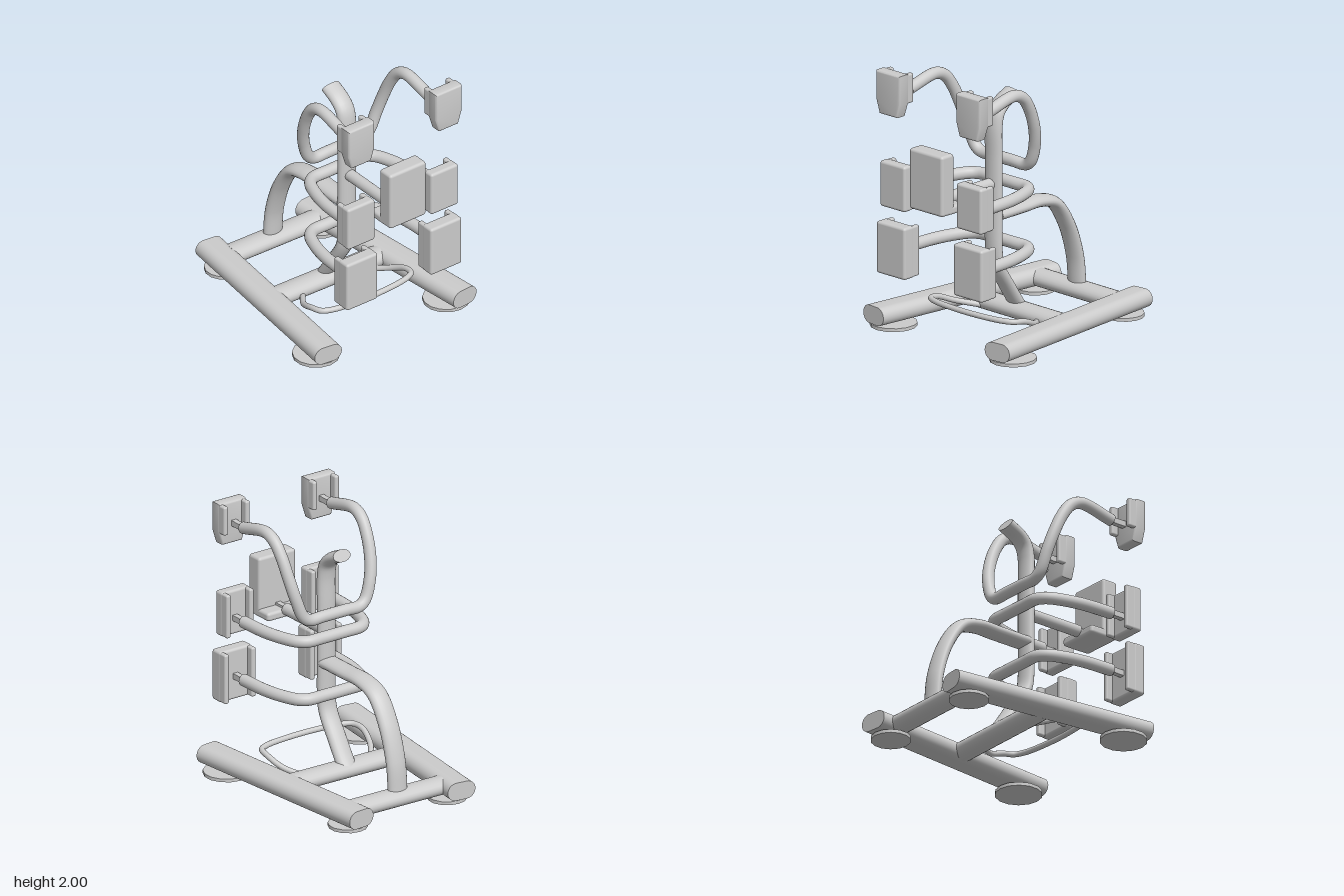
import * as THREE from 'three';
import { RoundedBoxGeometry } from 'three/addons/geometries/RoundedBoxGeometry.js';
import { toCreasedNormals } from 'three/addons/utils/BufferGeometryUtils.js';

const mat = new THREE.MeshStandardMaterial({ color: 0xcccccc });
const vec = (p) => new THREE.Vector3(...p);

export function createModel() {
  const model = new THREE.Group();
  const CX = 0.006; // centre line of the upper structure

  function add(name, geometry, pos = [0, 0, 0], parent = model) {
    const mesh = new THREE.Mesh(geometry, mat);
    mesh.name = name;
    mesh.position.set(...pos);
    parent.add(mesh);
    return mesh;
  }

  // Capped tube through points; wide stretches its section in x
  function pipe(name, points, radius, wide = 1, segments = 64) {
    const group = new THREE.Group();
    group.name = name;
    const curve = new THREE.CatmullRomCurve3(points.map(vec));
    add(name + 'Tube', new THREE.TubeGeometry(curve, segments, radius, 20), [0, 0, 0], group);
    for (const t of [0, 1]) {
      const cap = add(name + 'Cap', new THREE.CircleGeometry(radius, 20), curve.getPoint(t).toArray(), group);
      const dir = curve.getTangent(t).multiplyScalar(t ? 1 : -1);
      cap.quaternion.setFromUnitVectors(new THREE.Vector3(0, 0, 1), dir);
    }
    group.scale.x = wide;
    group.position.x = CX;
    model.add(group);
    return group;
  }

  // Mirror half a path (from the centre outwards) into a full one
  const mirrored = (half) => [...half.map(([x, y, z]) => [-x, y, z]).reverse(), ...half];

  // Floor rails: flattened oval bars that splay towards the front
  function rail(name, back, front) {
    const w = 0.045, r = 0.068;
    const s = new THREE.Shape();
    s.absarc(w, 0, r, -Math.PI / 2, Math.PI / 2);
    s.absarc(-w, 0, r, Math.PI / 2, Math.PI * 1.5);
    const a = vec(back), b = vec(front);
    const geo = new THREE.ExtrudeGeometry(s, { depth: a.distanceTo(b), bevelEnabled: false, curveSegments: 8 });
    const mesh = add(name, toCreasedNormals(geo, 0.6), back);
    mesh.lookAt(b);
  }
  rail('rightRail', [-0.425, 0.107, -0.875], [-0.62, 0.107, 0.765]);
  rail('leftRail', [0.457, 0.107, -0.87], [0.61, 0.107, 0.775]);

  // Foot discs
  for (const [name, x, z, r] of [
    ['frontRightFoot', -0.592, 0.585, 0.172], ['frontLeftFoot', 0.587, 0.585, 0.172],
    ['backRightFoot', -0.42, -0.705, 0.145], ['backLeftFoot', 0.458, -0.705, 0.145],
  ]) add(name, toCreasedNormals(new THREE.CylinderGeometry(r, r, 0.025, 14), 0.6), [x, 0.0125, z]);

  // Cross bars between the rails
  for (const [name, x, z, length] of [['backCrossBar', 0.015, -0.69, 0.78], ['frontCrossBar', 0.005, -0.05, 0.92]]) {
    const geo = new THREE.CylinderGeometry(1, 1, length, 24).rotateZ(Math.PI / 2).scale(1, 0.065, 0.093);
    add(name, geo, [x, 0.107, z]).rotation.y = -0.018;
  }

  // Main post with hooked top, and rear brace, both of oval section
  pipe('mainPost', [
    [0, 0.12, -0.085], [0, 0.19, -0.035], [0, 0.32, 0.05], [0, 0.45, 0.135], [0, 0.52, 0.163], [0, 0.62, 0.175],
    [0, 0.9, 0.175], [0, 1.3, 0.175], [0, 1.54, 0.175], [0, 1.63, 0.153], [0, 1.69, 0.095], [0, 1.745, -0.015],
  ], 0.046, 1.65);
  pipe('rearBrace', [
    [0, 0.865, 0.16], [0, 0.865, -0.1], [0, 0.865, -0.28], [0, 0.815, -0.44],
    [0, 0.63, -0.575], [0, 0.37, -0.665], [0, 0.14, -0.69],
  ], 0.046, 1.75);

  // Curved arms holding the pads
  for (const [name, y] of [['middleArms', 1.105], ['lowerArms', 0.655]]) {
    pipe(name, mirrored([
      [0.1, y, 0.075], [0.23, y, 0.08], [0.29, y, 0.125], [0.34, y, 0.24], [0.375, y, 0.4], [0.388, y, 0.645],
    ]), 0.045, 1, 110);
  }
  pipe('upperArms', mirrored([
    [0.1, 1.27, 0.075], [0.22, 1.27, 0.075], [0.275, 1.31, 0.08], [0.328, 1.45, 0.095], [0.36, 1.6, 0.135],
    [0.376, 1.75, 0.2], [0.384, 1.85, 0.275], [0.387, 1.89, 0.37], [0.39, 1.835, 0.645],
  ]), 0.044, 1, 140);
  pipe('centreArm', [[0, 1.105, 0.17], [0, 1.105, 0.4], [0, 1.105, 0.655]], 0.044);

  // Thin foot loop in front of the lower cross bar
  pipe('footLoop', mirrored([
    [0.12, 0.205, 0.467], [0.33, 0.205, 0.44], [0.405, 0.203, 0.4], [0.422, 0.19, 0.31],
    [0.385, 0.135, 0.17], [0.28, 0.09, 0.02],
  ]), 0.021, 1, 100);

  // Side pads: front cushion, two rear lips and a square neck
  const pads = [
    { name: 'middle', x: 0.377, y: 1.146, w: 0.247, h: 0.342, back: 0.695, front: 0.835, neckY: 1.105 },
    { name: 'lower', x: 0.38, y: 0.667, w: 0.282, h: 0.39, back: 0.69, front: 0.85, neckY: 0.655 },
    { name: 'upper', x: 0.395, y: 1.84, w: 0.237, h: 0.32, back: 0.71, front: 0.86, neckY: 1.835, tapered: true },
  ];
  for (const p of pads) for (const side of [1, -1]) {
    const pad = new THREE.Group();
    pad.name = (side > 0 ? 'left' : 'right') + p.name + 'Pad';
    pad.position.set(CX + side * p.x, p.y, 0);
    const step = p.back + 0.055, depth = p.front - step;
    if (p.tapered) {
      const b = 0.015, w = p.w / 2 - b, h = p.h / 2 - b;
      const s = new THREE.Shape([[w, h], [-w, h], [-w, -0.055], [-0.075, -h], [0.075, -h], [w, -0.055]]
        .map(([x, y]) => new THREE.Vector2(x, y)));
      const geo = new THREE.ExtrudeGeometry(s, { depth: depth - 2 * b, bevelSize: b, bevelThickness: b, bevelSegments: 3 });
      add('cushion', toCreasedNormals(geo, 0.6), [0, 0, step + b], pad);
    } else {
      add('cushion', new RoundedBoxGeometry(p.w, p.h, depth, 3, 0.02), [0, 0, step + depth / 2], pad);
    }
    const lipH = p.tapered ? 0.22 : p.h - 0.01;
    const lipY = p.tapered ? 0.045 : 0;
    for (const e of [1, -1]) {
      add('rearLip', new RoundedBoxGeometry(0.04, lipH, 0.09, 2, 0.014), [e * (p.w / 2 - 0.022), lipY, p.back + 0.045], pad);
    }
    add('neck', new THREE.BoxGeometry(0.042, 0.042, 0.14), [side * (0.388 - p.x), p.neckY - p.y, 0.7], pad);
    model.add(pad);
  }

  // Centre pad with its rear ledge
  add('centrePad', new RoundedBoxGeometry(0.328, 0.455, 0.13, 3, 0.022), [0.01, 1.272, 0.823]);
  add('centrePadLedge', new RoundedBoxGeometry(0.328, 0.065, 0.18, 3, 0.022), [0.01, 1.075, 0.74]);
  add('centreNeck', new THREE.BoxGeometry(0.042, 0.042, 0.14), [CX, 1.105, 0.71]);

  return model;
}
